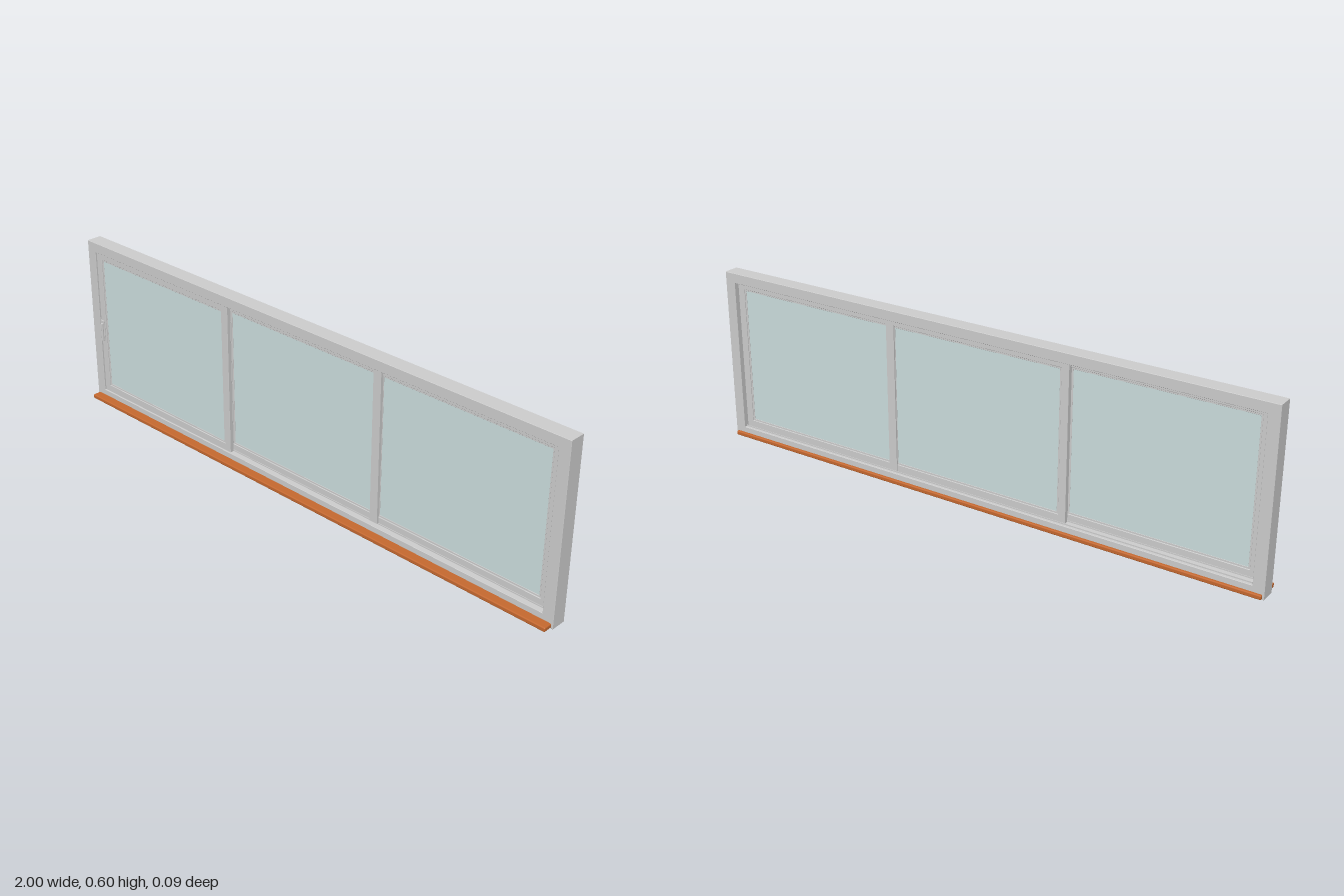
import * as THREE from 'three';
import { RoundedBoxGeometry } from 'three/addons/geometries/RoundedBoxGeometry.js';

const grey = new THREE.MeshStandardMaterial({ color: 0xcccccc });
const glass = new THREE.MeshStandardMaterial({ color: 0xcadcdc });
const wood = new THREE.MeshStandardMaterial({ color: 0xc4682f });

function add(parent, name, geometry, material = grey) {
  const mesh = new THREE.Mesh(geometry, material);
  mesh.name = name;
  parent.add(mesh);
  return mesh;
}

// Box given by its limits on each axis, rounded when r is set
function block(parent, name, [x0, x1], [y0, y1], [z0, z1], material = grey, r = 0) {
  const size = [x1 - x0, y1 - y0, z1 - z0];
  const geometry = r ? new RoundedBoxGeometry(...size, 2, r) : new THREE.BoxGeometry(...size);
  const mesh = add(parent, name, geometry, material);
  mesh.position.set((x0 + x1) / 2, (y0 + y1) / 2, (z0 + z1) / 2);
  return mesh;
}

function rectangle(path, x0, x1, y0, y1) {
  return path.moveTo(x0, y0).lineTo(x1, y0).lineTo(x1, y1).lineTo(x0, y1).closePath();
}

// Rectangular ring with a small bevel, extruded along z
function ring(parent, name, outer, inner, [z0, z1], bevel = 0.001) {
  const [x0, x1, y0, y1] = outer;
  const shape = rectangle(new THREE.Shape(), x0 + bevel, x1 - bevel, y0 + bevel, y1 - bevel);
  const [a0, a1, b0, b1] = inner;
  shape.holes.push(rectangle(new THREE.Path(), a0 - bevel, a1 + bevel, b0 - bevel, b1 + bevel));
  const geometry = new THREE.ExtrudeGeometry(shape, {
    depth: z1 - z0 - 2 * bevel, bevelThickness: bevel, bevelSize: bevel, bevelSegments: 1,
  });
  geometry.translate(0, 0, z0 + bevel);
  return add(parent, name, geometry);
}

// Sliding sash: stiles and rails, a recessed glazing bead and the pane
function sash(name, x0, x1, [z0, z1]) {
  const group = new THREE.Group();
  group.name = name;
  const y0 = 0.036, y1 = 0.567, w = 0.026, bead = 0.006;
  const inner = [x0 + w, x1 - w, y0 + w, y1 - w + 0.003];
  ring(group, 'sashFrame', [x0, x1, y0, y1], inner, [z0, z1]);
  const [a0, a1, b0, b1] = inner;
  const pane = [a0 + bead, a1 - bead, b0 + bead, b1 - bead];
  ring(group, 'glazingBead', [a0 - 0.002, a1 + 0.002, b0 - 0.002, b1 + 0.002], pane,
    [z0 + 0.003, z1 - 0.003], 0.0005);
  const mid = (z0 + z1) / 2;
  block(group, 'pane', [pane[0] - 0.002, pane[1] + 0.002], [pane[2] - 0.002, pane[3] + 0.002],
    [mid - 0.003, mid + 0.003], glass);
  return group;
}

export function createModel() {
  const model = new THREE.Group();
  model.name = 'slidingWindow';

  // Outer frame
  ring(model, 'outerFrame', [-1, 1, 0, 0.6], [-0.962, 0.962, 0.037, 0.566], [-0.037, 0.017]);

  // Guide rails between the tracks, top and bottom
  for (const z of [-0.0035, -0.026]) {
    block(model, 'bottomRail', [-0.962, 0.962], [0.036, 0.041], [z - 0.001, z + 0.001]);
    block(model, 'topRail', [-0.962, 0.962], [0.561, 0.567], [z - 0.001, z + 0.001]);
  }

  // Three sashes; the left-hand one runs on the front track
  const front = [-0.002, 0.012], rear = [-0.02, -0.005];
  model.add(sash('openingSash', -0.962, -0.307, front));
  model.add(sash('middleSash', -0.336, 0.334, rear));
  model.add(sash('endSash', 0.304, 0.962, rear));

  // Cover strip on the joint between the two rear sashes
  block(model, 'jointStrip', [0.304, 0.334], [0.04, 0.563], [-0.022, 0.002]);

  // Handle: back plate and grip
  const handle = new THREE.Group();
  handle.name = 'handle';
  block(handle, 'handlePlate', [-0.962, -0.943], [0.234, 0.312], [0.011, 0.015], grey, 0.0018);
  block(handle, 'handleGrip', [-0.957, -0.948], [0.233, 0.302], [0.013, 0.021], grey, 0.003);
  model.add(handle);

  // Wooden sills inside and outside
  block(model, 'frontSill', [-0.994, 0.994], [0.002, 0.017], [0.01, 0.047], wood, 0.004);
  block(model, 'backSill', [-0.994, 0.994], [0.002, 0.017], [-0.046, -0.03], wood, 0.004);

  return model;
}
